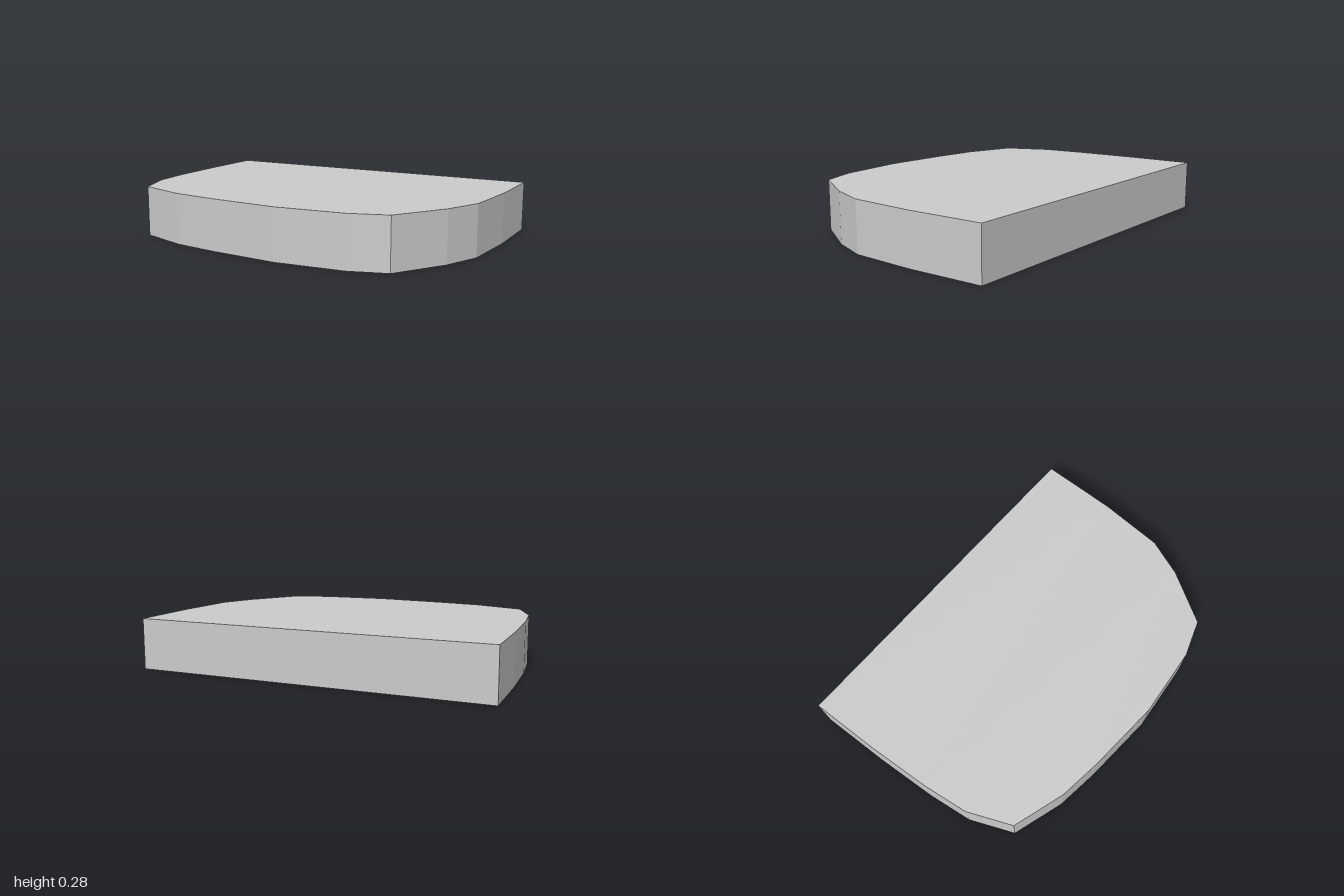
import * as THREE from 'three';

export function createModel() {
  const group = new THREE.Group();

  // Outline seen from above as [x, z]: straight back edge, bowed front
  const outline = [
    [-1, -0.685], [-0.975, -0.3], [-0.94, 0.06], [-0.9, 0.31], [-0.79, 0.55],
    [-0.5, 0.64], [-0.25, 0.67], [0.16, 0.695], [0.55, 0.655], [0.75, 0.585],
    [0.915, 0.3], [0.99, 0.09], [1, -0.28], [0.98, -0.7],
  ];
  const shape = new THREE.Shape(outline.map(([x, z]) => new THREE.Vector2(x, -z)));

  // Flat slab, extruded upwards from the ground
  const geometry = new THREE.ExtrudeGeometry(shape, { depth: 0.28, bevelEnabled: false });
  geometry.rotateX(-Math.PI / 2);

  const slab = new THREE.Mesh(
    geometry,
    new THREE.MeshStandardMaterial({ color: 0xcccccc, flatShading: true })
  );
  slab.name = 'slab';
  group.add(slab);
  return group;
}
